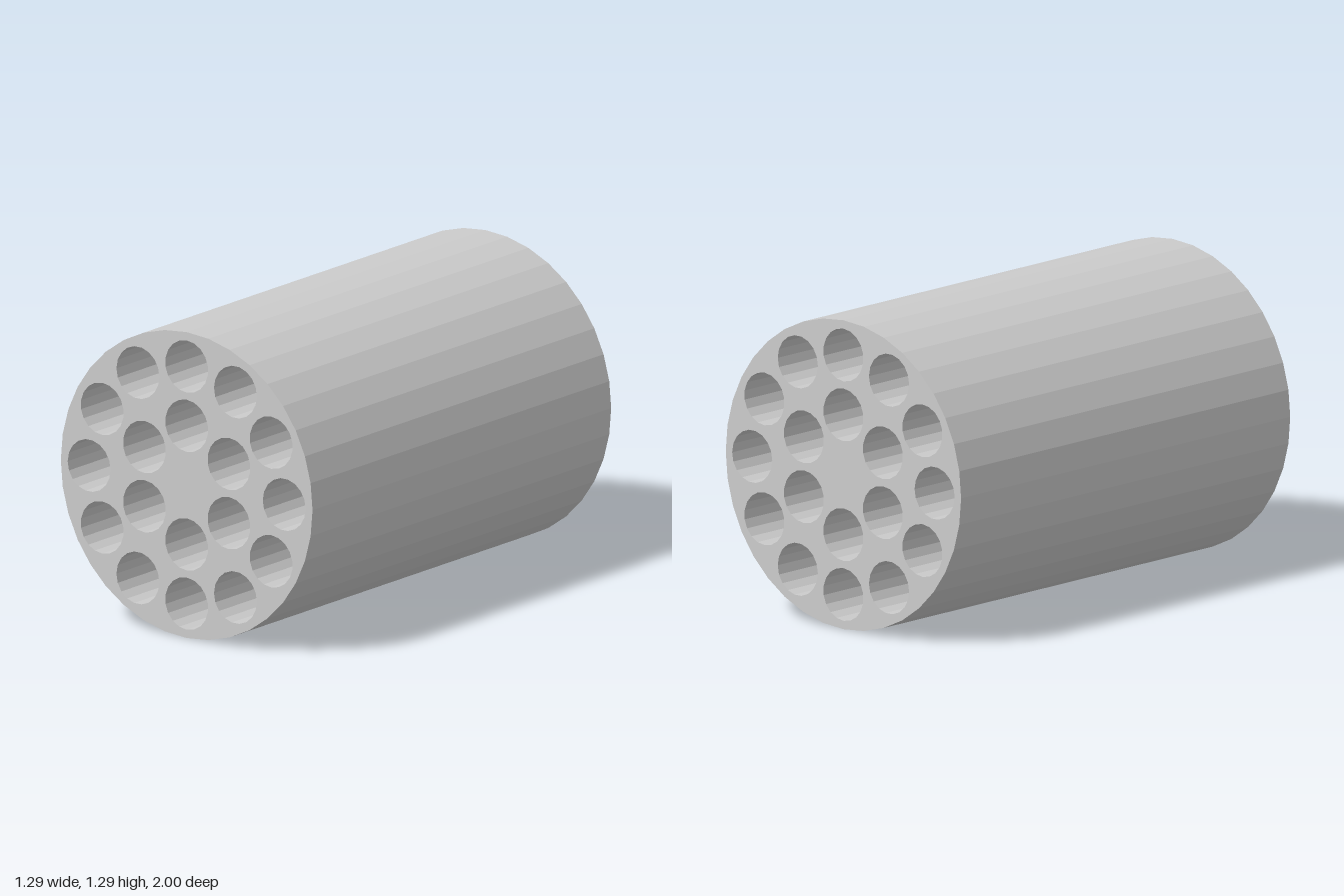
import * as THREE from 'three';

const RADIUS = 0.645, LENGTH = 2, HOLE_RADIUS = 0.11;

// Corners of a regular polygon, with one corner at the start angle
function polygon(cx, cy, radius, sides, start = 0) {
  return Array.from({ length: sides }, (_, i) => {
    const a = start + (i / sides) * Math.PI * 2;
    return new THREE.Vector2(cx + radius * Math.cos(a), cy + radius * Math.sin(a));
  });
}

export function createModel() {
  const group = new THREE.Group();
  group.name = 'perforatedCylinder';

  // Round outline
  const outline = new THREE.Shape(polygon(0, 0, RADIUS, 36));

  // Two rings of through holes, each hole turned with its place in the ring
  const rings = [
    { count: 12, radius: 0.5 },
    { count: 6, radius: 0.25 },
  ];
  for (const { count, radius } of rings) {
    for (let i = 0; i < count; i++) {
      const a = Math.PI / 2 + (i / count) * Math.PI * 2;
      const corners = polygon(radius * Math.cos(a), radius * Math.sin(a), HOLE_RADIUS, 18, a);
      outline.holes.push(new THREE.Path(corners.reverse()));
    }
  }

  // Body lying along z
  const geometry = new THREE.ExtrudeGeometry(outline, { depth: LENGTH, bevelEnabled: false });
  geometry.translate(0, RADIUS, -LENGTH / 2);
  const body = new THREE.Mesh(
    geometry,
    new THREE.MeshStandardMaterial({ color: 0xcccccc, flatShading: true })
  );
  body.name = 'body';
  group.add(body);
  return group;
}
